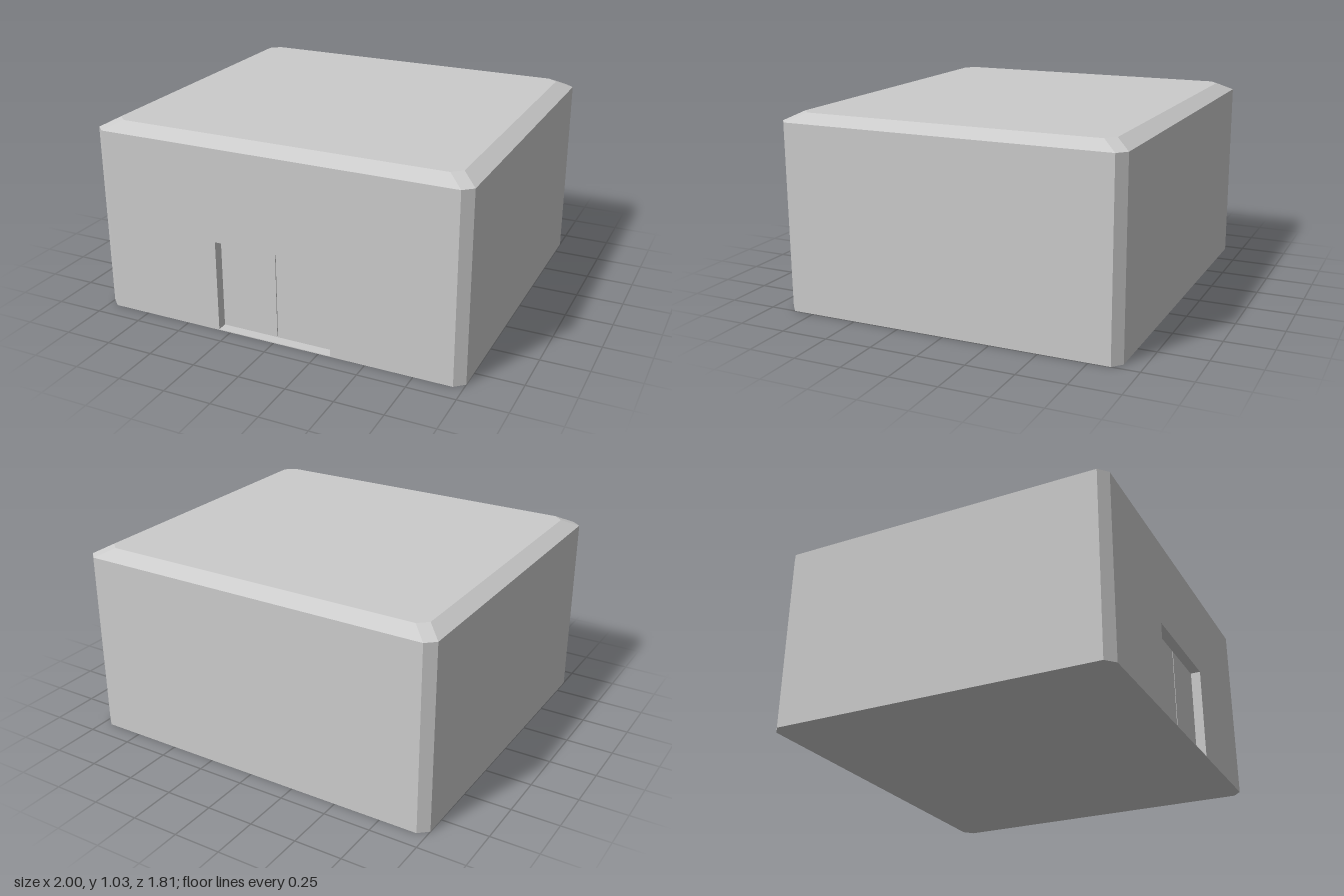
import * as THREE from 'three';

const W = 1, D = 0.905, CUT_X = 0.05, CUT_Z = 0.045; // half width, half depth, corner cuts
const EAVE = 0.985, TOP = 1.028, INSET = 0.08;
const DOOR_W = 0.315, DOOR_H = 0.493, RECESS = 0.055, SILL = 0.004;

const grey = new THREE.MeshStandardMaterial({ color: 0xcccccc, flatShading: true });

// Eight-sided plan, anticlockwise seen from above; the first edge is the front
function ring(y, inset) {
  const w = W - inset, d = D - inset;
  return [
    [-w + CUT_X, d], [w - CUT_X, d], [w, d - CUT_Z], [w, -d + CUT_Z],
    [w - CUT_X, -d], [-w + CUT_X, -d], [-w, -d + CUT_Z], [-w, d - CUT_Z],
  ].map(([x, z]) => [x, y, z]);
}

function polygons(faces) {
  const pos = [];
  for (const f of faces) {
    for (let i = 1; i < f.length - 1; i++) pos.push(...f[0], ...f[i], ...f[i + 1]);
  }
  const g = new THREE.BufferGeometry();
  g.setAttribute('position', new THREE.Float32BufferAttribute(pos, 3));
  g.computeVertexNormals();
  return g;
}

// Side faces between two rings
function band(low, high) {
  return low.map((p, i) => {
    const j = (i + 1) % low.length;
    return [p, low[j], high[j], high[i]];
  });
}

export function createModel() {
  const group = new THREE.Group();
  const add = (name, geometry, x = 0, y = 0, z = 0, parent = group) => {
    const mesh = new THREE.Mesh(geometry, grey);
    mesh.name = name;
    mesh.position.set(x, y, z);
    parent.add(mesh);
    return mesh;
  };

  const base = ring(0, 0), eave = ring(EAVE, 0), top = ring(TOP, INSET);

  // Side and back walls with cut corners, and the underside
  add('walls', polygons(band(base, eave).slice(1)));
  add('underside', polygons([[...base].reverse()]));

  // Flat roof with a sloping edge
  add('roof', polygons([...band(eave, top), top]));

  // Front wall, notched for the doorway
  const w = W - CUT_X;
  const wall = new THREE.Shape([
    [-w, 0], [-DOOR_W, 0], [-DOOR_W, DOOR_H], [DOOR_W, DOOR_H],
    [DOOR_W, 0], [w, 0], [w, EAVE], [-w, EAVE],
  ].map(([x, y]) => new THREE.Vector2(x, y)));
  add('frontWall', new THREE.ShapeGeometry(wall), 0, 0, D);

  // Doorway lining: jambs, head, sill and back, facing into the opening
  const a = DOOR_W, h = DOOR_H, f = D, b = D - RECESS;
  add('doorwayLining', polygons([
    [[-a, 0, f], [-a, 0, b], [-a, h, b], [-a, h, f]],
    [[a, 0, b], [a, 0, f], [a, h, f], [a, h, b]],
    [[-a, h, f], [-a, h, b], [a, h, b], [a, h, f]],
    [[-a, SILL, f], [a, SILL, f], [a, SILL, b], [-a, SILL, b]],
    [[-a, 0, f], [a, 0, f], [a, SILL, f], [-a, SILL, f]],
    [[-a, 0, b], [a, 0, b], [a, h, b], [-a, h, b]],
  ]));

  // Pair of door leaves with a narrow gap between them
  const doors = new THREE.Group();
  doors.name = 'doors';
  group.add(doors);
  const leafW = 0.304, leafH = 0.475;
  for (const s of [-1, 1]) {
    add(s < 0 ? 'rightDoor' : 'leftDoor', new THREE.BoxGeometry(leafW, leafH, 0.006),
      s * (0.004 + leafW / 2), 0.012 + leafH / 2, b + 0.003, doors);
  }
  return group;
}
